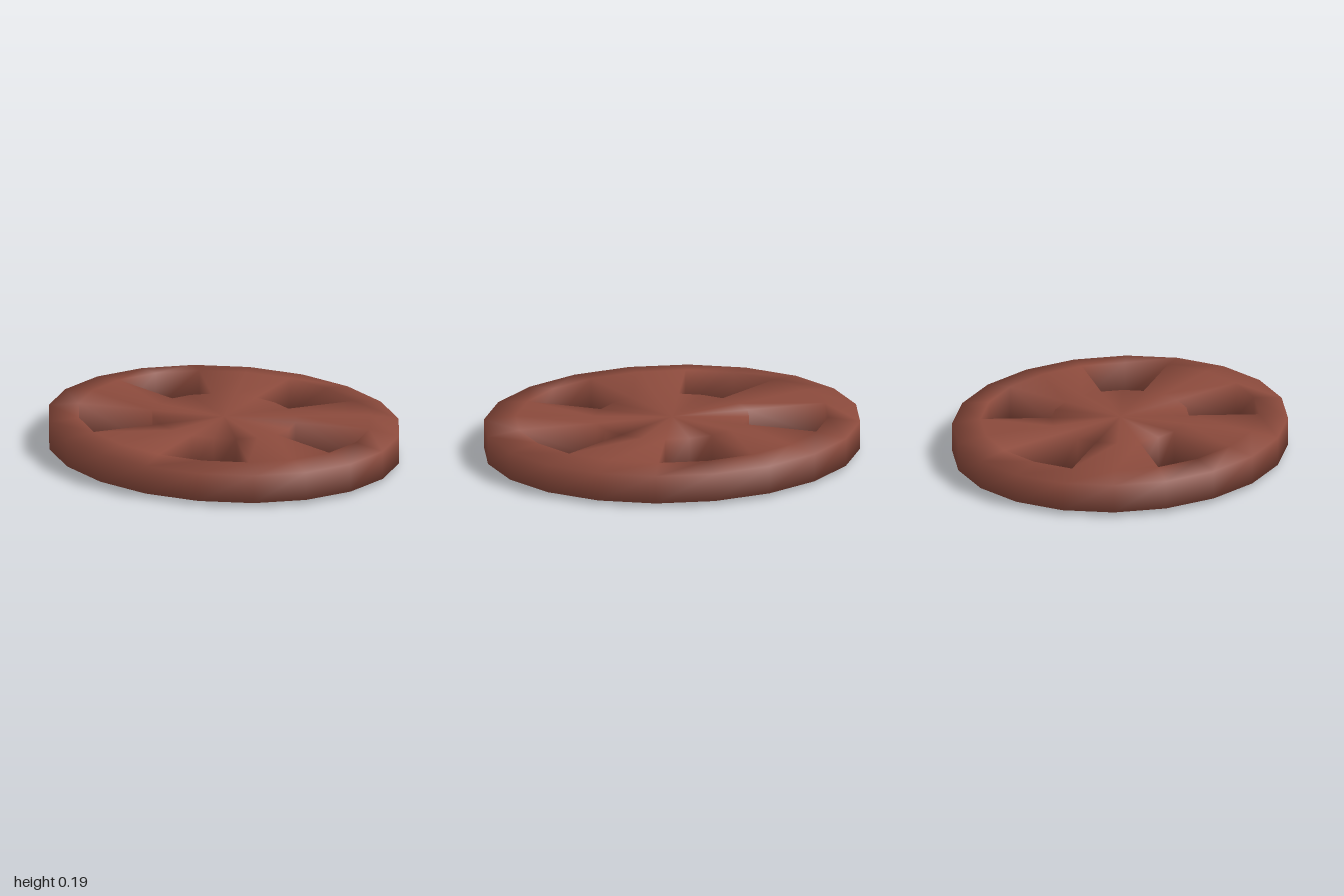
import * as THREE from 'three';

const SIDES = 20;       // low-poly wheel; five spokes and five openings, two sectors each
const WIDTH = 0.87;     // the wheel is narrower across x than along z
const HEIGHT = 0.195;
const BEVEL = 0.022;    // drop of the rim's faces toward its outer edge
const HUB = 0.41, INNER = 0.83, OUTER = 1;

// Rings of the cross-section, as [radius, y]
const RINGS = [
  [HUB, HEIGHT], [INNER, HEIGHT], [OUTER, HEIGHT - BEVEL],
  [OUTER, BEVEL], [INNER, 0], [HUB, 0],
];
const [HUB_TOP, RIM_TOP, EDGE_TOP, EDGE_LOW, RIM_LOW, HUB_LOW] = RINGS.keys();

function wheelGeometry() {
  const positions = [];
  const index = [];
  for (const [r, y] of RINGS) {
    for (let i = 0; i < SIDES; i++) {
      const a = (i / SIDES) * Math.PI * 2;
      positions.push(WIDTH * r * Math.cos(a), y, r * Math.sin(a));
    }
  }
  const topCentre = positions.length / 3;
  positions.push(0, HEIGHT, 0, 0, 0, 0);
  const lowCentre = topCentre + 1;

  const at = (ring, i) => ring * SIDES + (i % SIDES);
  const quad = (a, b, c, d) => index.push(a, b, c, a, c, d);
  const band = (p, q, i) => quad(at(p, i), at(p, i + 1), at(q, i + 1), at(q, i));

  for (let i = 0; i < SIDES; i++) {
    // hub faces
    index.push(topCentre, at(HUB_TOP, i + 1), at(HUB_TOP, i));
    index.push(lowCentre, at(HUB_LOW, i), at(HUB_LOW, i + 1));
    // rim: upper slope, outer wall, lower slope
    band(RIM_TOP, EDGE_TOP, i);
    band(EDGE_TOP, EDGE_LOW, i);
    band(EDGE_LOW, RIM_LOW, i);

    const step = i % 4;
    if (step === 3 || step === 0) {
      // opening: inner wall of the rim and wall of the hub
      band(RIM_LOW, RIM_TOP, i);
      band(HUB_TOP, HUB_LOW, i);
    } else {
      // spoke: upper and lower faces
      band(HUB_TOP, RIM_TOP, i);
      band(RIM_LOW, HUB_LOW, i);
    }
    // side walls of the spokes
    const corners = [HUB_TOP, HUB_LOW, RIM_LOW, RIM_TOP].map((ring) => at(ring, i));
    if (step === 3) quad(...corners);
    if (step === 1) quad(...corners.reverse());
  }

  const geometry = new THREE.BufferGeometry();
  geometry.setAttribute('position', new THREE.Float32BufferAttribute(positions, 3));
  geometry.setIndex(index);
  geometry.computeVertexNormals();
  return geometry;
}

export function createModel() {
  const group = new THREE.Group();
  group.name = 'spokedWheel';
  const wheel = new THREE.Mesh(
    wheelGeometry(),
    new THREE.MeshStandardMaterial({ color: 0x8b4a3c }),
  );
  wheel.name = 'wheel';
  group.add(wheel);
  return group;
}
